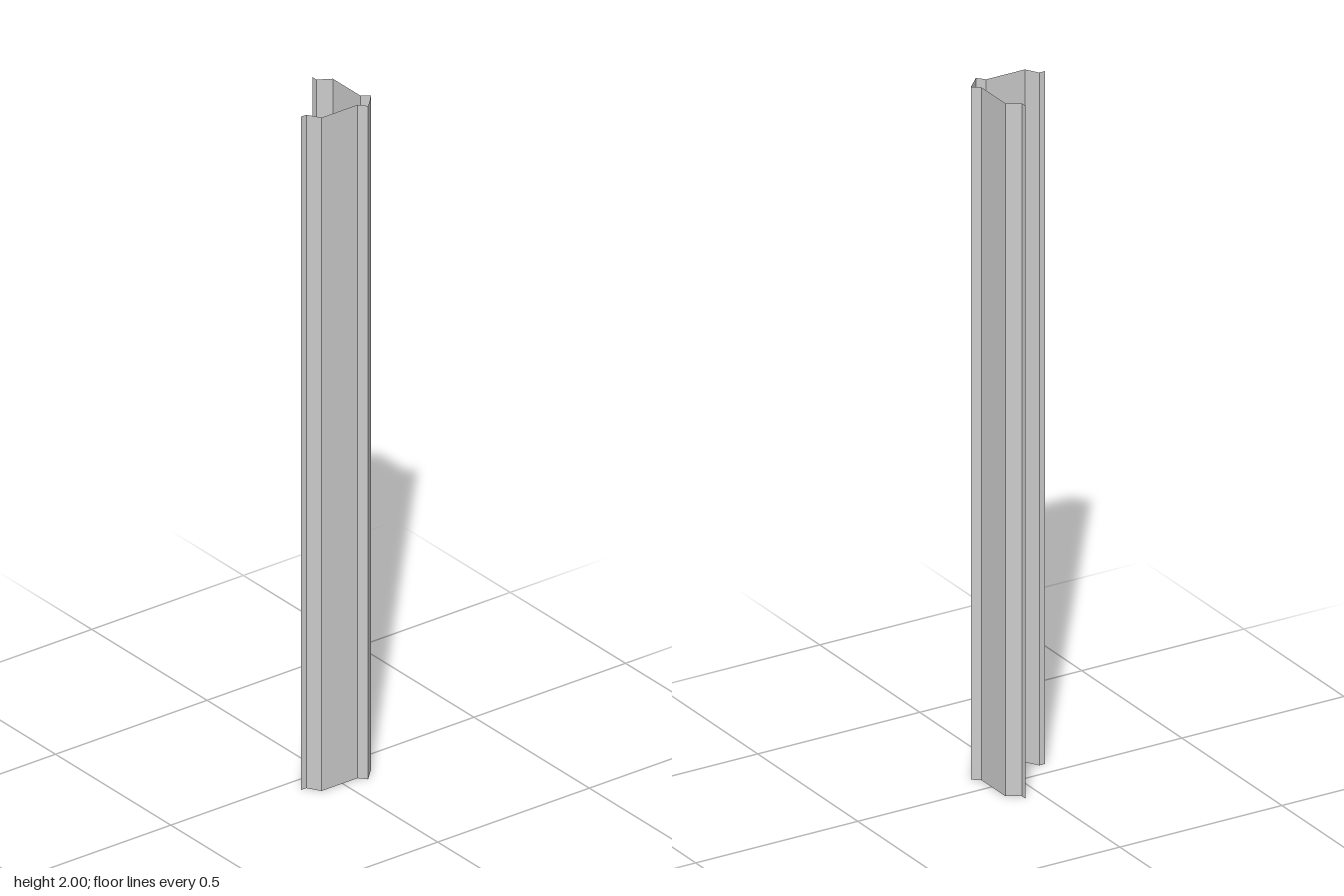
import * as THREE from 'three';

// Corner post folded from thin sheet: a constant section swept straight up.
export function createModel() {
  const height = 2;
  const group = new THREE.Group();
  group.name = 'cornerPost';

  // Half of the section as [x, z], from the flange edge to the corner band
  const half = [
    [0.05, 0.109],    // flange edge
    [0.05, 0.091],    // flange root
    [0.087, 0.069],   // slope meets web
    [0.087, -0.05],   // web meets corner rib
    [0.109, -0.068],  // edge of corner band
  ];
  // The other half mirrors across the diagonal z = -x
  const mirrored = half.map(([x, z]) => [-z, -x]).reverse();
  const section = [...half, ...mirrored];
  const names = ['flange', 'slope', 'web', 'cornerRib'];
  const partNames = [
    ...names.map((n) => n + 'Left'),
    'cornerBand',
    ...names.map((n) => n + 'Back').reverse(),
  ];

  const material = new THREE.MeshStandardMaterial({
    color: 0xcccccc, flatShading: true, side: THREE.DoubleSide,
  });

  // One flat upright panel per fold
  partNames.forEach((name, i) => {
    const [x0, z0] = section[i];
    const [x1, z1] = section[i + 1];
    const panel = new THREE.Mesh(
      new THREE.PlaneGeometry(Math.hypot(x1 - x0, z1 - z0), height), material);
    panel.position.set((x0 + x1) / 2, height / 2, (z0 + z1) / 2);
    panel.rotation.y = Math.atan2(z0 - z1, x1 - x0);
    panel.name = name;
    group.add(panel);
  });

  return group;
}
